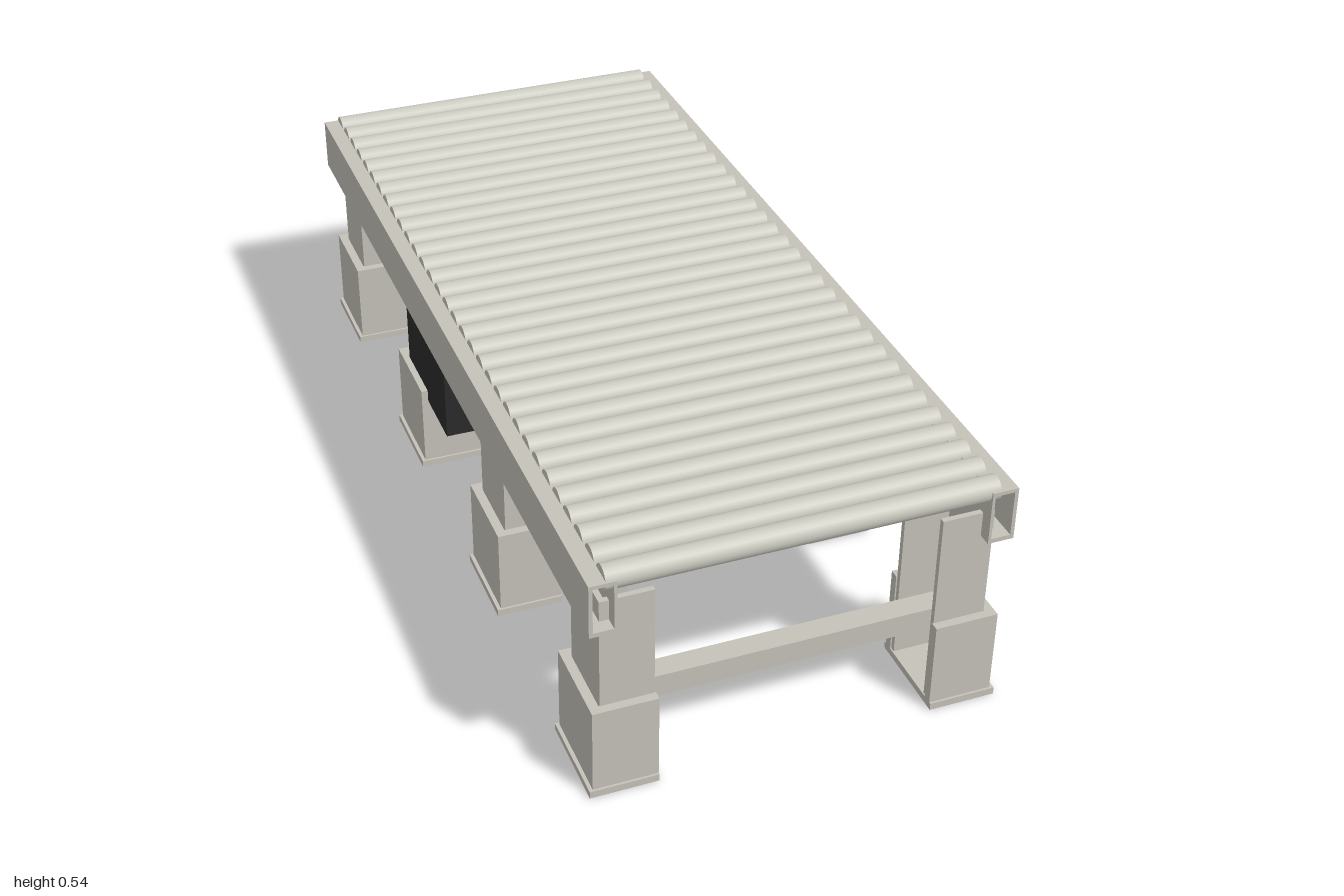
import * as THREE from 'three';

const mat = (name, color) => {
  const m = new THREE.MeshStandardMaterial({ color });
  m.name = name;
  return m;
};

export function createModel() {
  const frameGrey = mat('frameGrey', 0xc6c2b9);
  const rollerGrey = mat('rollerGrey', 0xcbcac0);
  const driveBlack = mat('driveBlack', 0x2b2b2b);
  const model = new THREE.Group();
  model.name = 'rollerConveyor';

  const add = (name, geometry, material, parent = model) => {
    const mesh = new THREE.Mesh(geometry, material);
    mesh.name = name;
    parent.add(mesh);
    return mesh;
  };
  // Box given by its limits on each axis
  const box = (name, x0, x1, y0, y1, z0, z1, material, parent) => {
    const mesh = add(name, new THREE.BoxGeometry(x1 - x0, y1 - y0, z1 - z0), material, parent);
    mesh.position.set((x0 + x1) / 2, (y0 + y1) / 2, (z0 + z1) / 2);
    return mesh;
  };
  // Cylinder lying along x
  const rod = (name, r, x0, x1, y, z, material, parent, sides = 20) => {
    const geometry = new THREE.CylinderGeometry(r, r, x1 - x0, sides).rotateZ(Math.PI / 2);
    const mesh = add(name, geometry, material, parent);
    mesh.position.set((x0 + x1) / 2, y, z);
    return mesh;
  };

  // Rollers
  const rollers = new THREE.Group();
  rollers.name = 'rollers';
  model.add(rollers);
  for (let i = 0; i < 32; i++) {
    rod('roller', 0.0265, -0.405, 0.405, 0.5175, -0.974 + i * 0.0627, rollerGrey, rollers, 24);
  }

  // Hollow side rails
  const section = new THREE.Shape([[0.384, 0.405], [0.44, 0.405], [0.44, 0.525], [0.384, 0.525]]
    .map(p => new THREE.Vector2(...p)));
  section.holes.push(new THREE.Path([[0.39, 0.415], [0.39, 0.517], [0.432, 0.517], [0.432, 0.415]]
    .map(p => new THREE.Vector2(...p))));
  const railGeometry = new THREE.ExtrudeGeometry(section, { depth: 2, bevelEnabled: false })
    .translate(0, 0, -1);

  // Channel post, open towards the middle of the conveyor; s is the side
  const channel = (name, s, xIn, xOut, y0, y1, half, t, z, parent) => {
    const outline = [[xIn, -half], [xOut, -half], [xOut, half], [xIn, half],
      [xIn, half - t], [xOut - t, half - t], [xOut - t, t - half], [xIn, t - half]];
    const shape = new THREE.Shape(outline.map(([x, v]) => new THREE.Vector2(s * x, v)));
    const geometry = new THREE.ExtrudeGeometry(shape, { depth: y1 - y0, bevelEnabled: false })
      .rotateX(-Math.PI / 2).translate(0, y0, z);
    return add(name, geometry, frameGrey, parent);
  };

  const legRows = [0.89, 0.3, -0.29, -0.88];
  for (const s of [1, -1]) {
    const side = s > 0 ? 'left' : 'right';
    const rail = add(side + 'Rail', railGeometry, frameGrey);
    if (s < 0) rail.rotation.y = Math.PI;

    // Legs: upper post in a wider foot on a base plate
    for (const z of legRows) {
      const leg = new THREE.Group();
      leg.name = side + 'Leg';
      model.add(leg);
      channel('upperPost', s, 0.298, 0.41, 0.015, 0.46, 0.081, 0.012, z, leg);
      channel('foot', s, 0.295, 0.432, 0.015, 0.208, 0.1, 0.02, z, leg);
      const plate = box('basePlate', 0.295, 0.44, 0, 0.016, z - 0.105, z + 0.105, frameGrey, leg);
      plate.position.x *= s;
    }

    // Drive cover with stepped inner plate and bearings
    const cover = new THREE.Group();
    cover.name = side + 'DriveCover';
    if (s < 0) cover.rotation.y = Math.PI;
    model.add(cover);
    const zs = (a, b) => (s > 0 ? [a, b] : [-b, -a]);
    box('coverBox', 0.3, 0.417, 0.18, 0.405, ...zs(-0.345, -0.035), driveBlack, cover);
    box('bearingPlate', 0.287, 0.3, 0.195, 0.34, ...zs(-0.2, -0.05), driveBlack, cover);
    rod('upperBearing', 0.034, 0.276, 0.29, 0.298, -0.1 * s, driveBlack, cover);
    rod('lowerBearing', 0.02, 0.276, 0.29, 0.226, -0.1 * s, driveBlack, cover);
  }

  // Cross bars between the legs
  for (const z of legRows) {
    box('crossBar', -0.4, 0.4, 0.145, 0.195, z - 0.025, z + 0.025, frameGrey);
  }

  // Drive shaft and motor
  rod('driveShaft', 0.006, -0.287, 0.287, 0.218, -0.1, driveBlack, model, 12);
  const motor = new THREE.Group();
  motor.name = 'motor';
  model.add(motor);
  box('gearbox', 0.138, 0.29, 0.122, 0.2, -0.215, -0.115, driveBlack, motor);
  box('motorCore', -0.075, 0.138, 0.13, 0.196, -0.205, -0.122, driveBlack, motor);
  for (let i = 0; i < 8; i++) {
    const z = -0.212 + i * 0.0125;
    box('coolingFin', -0.082, 0.035, 0.12, 0.205, z, z + 0.005, driveBlack, motor);
  }
  return model;
}
